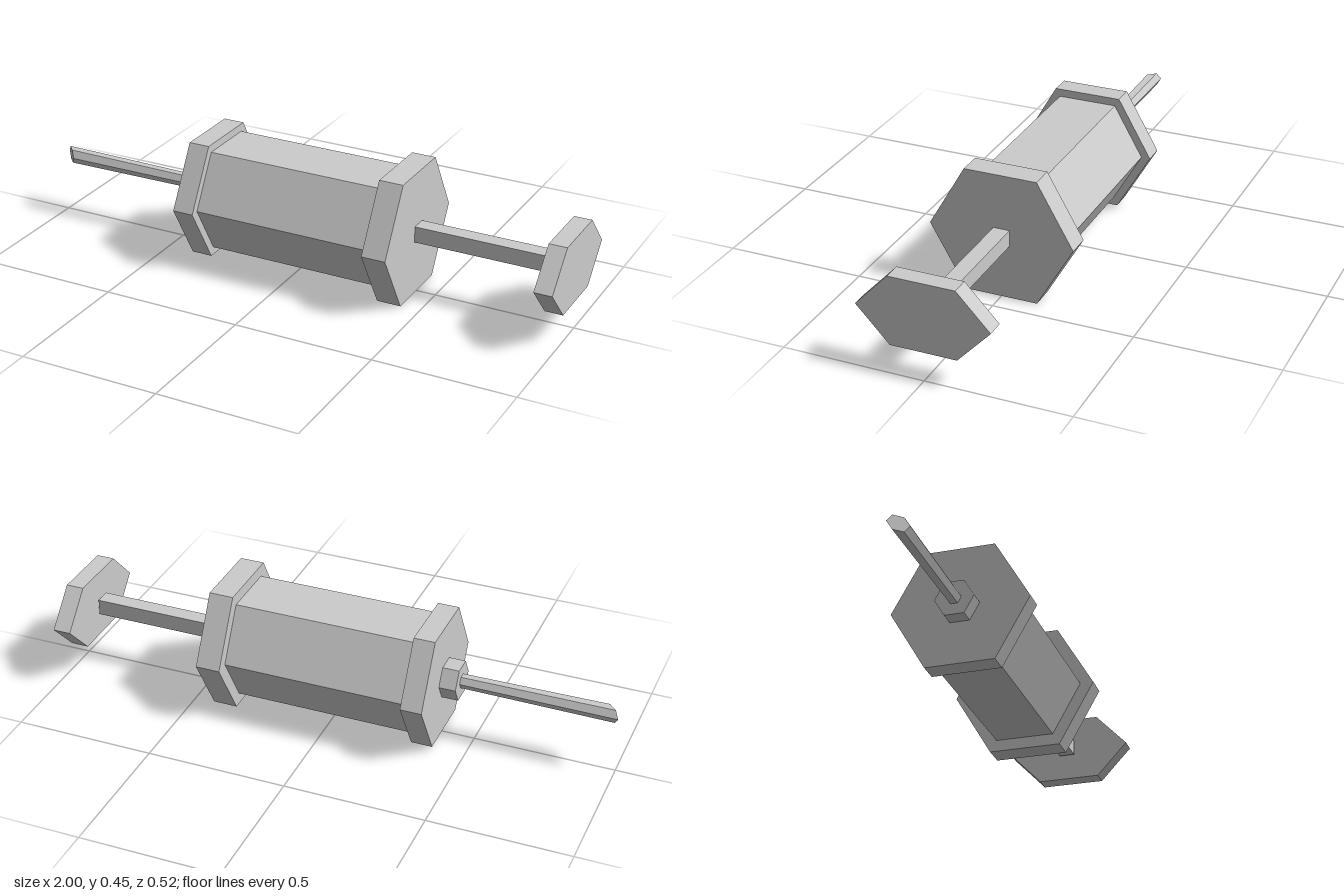
import * as THREE from 'three';

const AXIS_Y = 0.225;
const material = new THREE.MeshStandardMaterial({ color: 0xcccccc, flatShading: true });

function addPart(group, name, geometry) {
  const mesh = new THREE.Mesh(geometry, material);
  mesh.name = name;
  mesh.position.y = AXIS_Y;
  group.add(mesh);
  return mesh;
}

// Six-sided prism along x, corners towards +z and -z
function hexPrism(x0, x1, r0, r1 = r0, halfHeight = null) {
  const g = new THREE.CylinderGeometry(r0, r1, x1 - x0, 6);
  g.rotateZ(Math.PI / 2);
  if (halfHeight) g.scale(1, halfHeight / (r0 * Math.sqrt(3) / 2), 1);
  g.translate((x0 + x1) / 2, 0, 0);
  return g;
}

export function createModel() {
  const group = new THREE.Group();
  group.name = 'syringe';

  // Barrel with its two end flanges
  addPart(group, 'barrel', hexPrism(-0.312, 0.342, 0.211));
  addPart(group, 'frontFlange', hexPrism(-0.388, -0.312, 0.243));
  addPart(group, 'rearFlange', hexPrism(0.342, 0.429, 0.259));

  // Needle hub
  addPart(group, 'needleHub', hexPrism(-0.447, -0.388, 0.069));

  // Needle, its far end cut at a slant across z
  const needle = hexPrism(-1, -0.447, 0.029, 0.025);
  const p = needle.attributes.position;
  for (let i = 0; i < p.count; i++) {
    if (p.getX(i) < -0.9) p.setX(i, -1 + (p.getZ(i) + 0.029) * 0.95);
  }
  needle.computeVertexNormals();
  addPart(group, 'needle', needle);

  // Plunger rod and thumb plate
  const rod = new THREE.BoxGeometry(0.496, 0.058, 0.058);
  rod.translate(0.677, 0, -0.003);
  addPart(group, 'plungerRod', rod);
  addPart(group, 'thumbPlate', hexPrism(0.936, 1, 0.231, 0.231, 0.122));

  return group;
}
